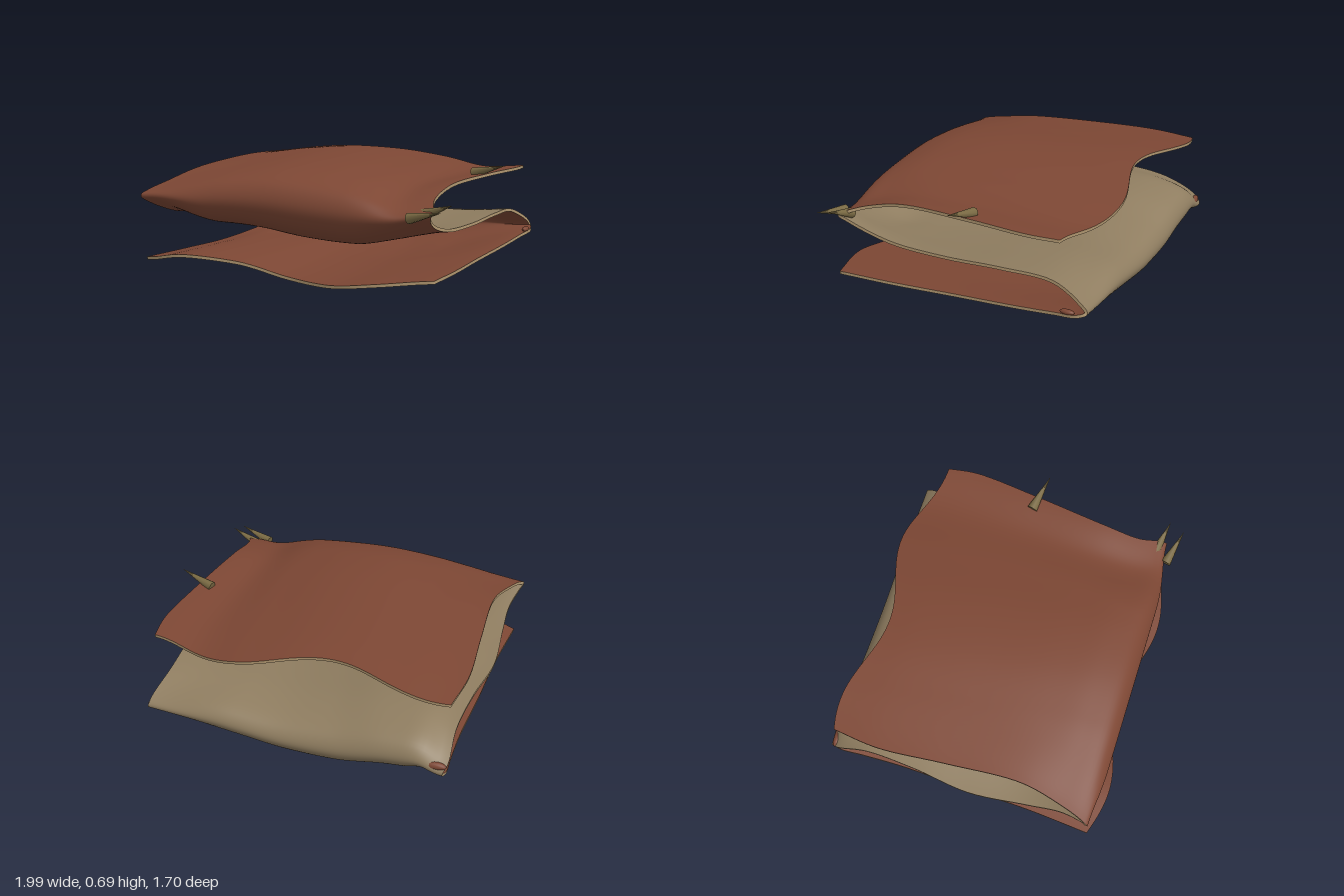
import * as THREE from 'three';

const HALF_THICK = 0.009, ROWS = 130, COLS = 64;
const { lerp, clamp, smoothstep } = THREE.MathUtils;

// Heights of the lower, middle and upper layers, evenly spaced across the width
const LAYERS = [
  [0.10, 0.145, 0.12, 0.05, 0.04, 0.075, 0.105],
  [0.33, 0.365, 0.35, 0.29, 0.265, 0.285, 0.325],
  [0.61, 0.65, 0.678, 0.67, 0.625, 0.577, 0.60],
].map(ys => new THREE.SplineCurve(ys.map((y, i) => new THREE.Vector2(-0.93 + i * 0.31, y))));

// Fold path: z and layer at mid width, z and layer at the pinched sides, x of each side
const FOLD = [
  [0.80, 0.00, 0.80, 0.00, -0.96, 0.88],
  [0.40, -0.04, 0.40, 0.00, -0.93, 0.87],
  [0.00, -0.08, 0.00, 0.00, -0.92, 0.84],
  [-0.40, -0.12, -0.40, 0.12, -0.91, 0.86],
  [-0.65, -0.06, -0.65, 0.24, -0.92, 0.88],
  [-0.80, 0.18, -0.79, 0.34, -0.93, 0.90],
  [-0.845, 0.50, -0.84, 0.44, -0.92, 0.88],
  [-0.80, 0.83, -0.80, 0.62, -0.94, 0.87],
  [-0.60, 1.05, -0.62, 0.98, -0.93, 0.83],
  [-0.30, 1.06, -0.30, 1.05, -0.95, 0.84],
  [0.05, 1.00, 0.05, 1.00, -0.99, 0.83],
  [0.40, 0.96, 0.40, 1.04, -0.96, 0.82],
  [0.62, 0.99, 0.60, 1.21, -0.95, 0.82],
  [0.755, 1.18, 0.71, 1.40, -0.98, 0.84],
  [0.80, 1.45, 0.745, 1.51, -1.00, 0.86],
  [0.755, 1.70, 0.70, 1.60, -0.98, 0.85],
  [0.60, 1.87, 0.58, 1.74, -0.94, 0.81],
  [0.35, 1.96, 0.35, 1.93, -0.90, 0.81],
  [-0.10, 2.00, -0.10, 2.00, -0.93, 0.86],
  [-0.50, 2.00, -0.50, 2.00, -0.96, 0.90],
  [-0.74, 1.98, -0.74, 1.98, -0.93, 0.88],
];

function layerHeight(k, u) {
  const y = LAYERS.map(c => c.getPoint(clamp((u + 1) / 2, 0, 1)).y);
  return k < 1 ? lerp(y[0], y[1], k) : lerp(y[1], y[2], k - 1);
}

// Bell-shaped weight around one row of the fold path
const bell = (i, centre, width) => Math.exp(-(((i - centre) / width) ** 2));

// One lengthwise curve through the folds at width u in -1..1
function foldCurve(u) {
  return new THREE.CatmullRomCurve3(FOLD.map(([z, k, ze, ke, xl, xr], i) => {
    // sides pinch together; the right back corner stays fuller
    const start = u > 0 ? 0.43 : i < 9 ? 0.72 : 0.5;
    const pinch = smoothstep(Math.abs(u), start, 1);
    const pull = pinch * pinch * (u < 0 ? 0.4 : 1);
    const x = (xl + xr) / 2 + u * (xr - xl) / 2;
    let pz = lerp(z, ze, pull);
    // scalloped ends
    if (i === 0) pz = 0.79 + 0.06 * Math.cos((x + 0.68) * 2 * Math.PI / 1.14);
    if (i === FOLD.length - 1) pz = -0.74 - 0.06 * Math.cos((x - 0.33) * 2 * Math.PI / 1.1);
    // ripples drift sideways, and flatten, near the folds
    const ripple = u + (0.3 * bell(i, 5.5, 3.2) - 0.28 * bell(i, 15, 2.8)) * (1 - pinch);
    const layer = lerp(k, ke, pinch);
    const flat = 0.5 * bell(i, 13, 1.8) * (1 - pinch);
    const sag = 0.03 * bell(i, 5.5, 3) * smoothstep(-u, 0, 0.8);
    return new THREE.Vector3(x, lerp(layerHeight(layer, ripple), layerHeight(layer, 0.1), flat) - sag, pz);
  }));
}

// Grid of centre points and normals
function buildGrid() {
  const points = [], normals = [];
  const curves = Array.from({ length: COLS + 1 }, (_, j) => foldCurve(j / COLS * 2 - 1));
  for (let i = 0; i <= ROWS; i++) points.push(curves.map(c => c.getPoint(i / ROWS)));
  for (let i = 0; i <= ROWS; i++) {
    normals.push(points[i].map((_, j) => {
      const du = points[i][Math.min(j + 1, COLS)].clone().sub(points[i][Math.max(j - 1, 0)]);
      const ds = points[Math.min(i + 1, ROWS)][j].clone().sub(points[Math.max(i - 1, 0)][j]);
      return du.cross(ds).normalize();
    }));
  }
  return (i, j, side) => points[i][j].clone().addScaledVector(normals[i][j], side * HALF_THICK);
}

function indexedGeometry(verts, index) {
  const g = new THREE.BufferGeometry().setFromPoints(verts);
  g.setIndex(index);
  g.computeVertexNormals();
  return g;
}

// One face of the hide; side is +1 or -1
function sheetGeometry(at, side) {
  const verts = [], index = [], w = COLS + 1;
  for (let i = 0; i <= ROWS; i++) for (let j = 0; j <= COLS; j++) verts.push(at(i, j, side));
  for (let i = 0; i < ROWS; i++) {
    for (let j = 0; j < COLS; j++) {
      const a = i * w + j, b = a + 1, c = a + w, d = c + 1;
      if (side > 0) index.push(a, b, c, b, d, c);
      else index.push(a, c, b, b, c, d);
    }
  }
  return indexedGeometry(verts, index);
}

// Cut edge running around the whole sheet
function rimGeometry(at) {
  const loop = [], verts = [], index = [];
  for (let j = 0; j < COLS; j++) loop.push([0, j]);
  for (let i = 0; i < ROWS; i++) loop.push([i, COLS]);
  for (let j = COLS; j > 0; j--) loop.push([ROWS, j]);
  for (let i = ROWS; i > 0; i--) loop.push([i, 0]);
  loop.forEach(([i, j], n) => {
    verts.push(at(i, j, 1), at(i, j, -1));
    const a = n * 2, b = ((n + 1) % loop.length) * 2;
    index.push(a, a + 1, b, b, a + 1, b + 1);
  });
  return indexedGeometry(verts, index);
}

export function createModel() {
  const model = new THREE.Group();
  model.name = 'foldedHide';
  const material = (name, color, side = THREE.FrontSide) => {
    const m = new THREE.MeshStandardMaterial({ color, side });
    m.name = name;
    return m;
  };
  const brown = material('redBrownLeather', 0x7d4734);
  const tan = material('tanUnderside', 0x8f7d60);
  const pale = material('paleCutEdge', 0xad946e, THREE.DoubleSide);
  const horn = material('oliveHorn', 0x7a6a43);
  const add = (name, geometry, mat) => {
    const mesh = new THREE.Mesh(geometry, mat);
    mesh.name = name;
    model.add(mesh);
    return mesh;
  };

  // Folded sheet
  const at = buildGrid();
  add('outerHide', sheetGeometry(at, 1), brown);
  add('innerHide', sheetGeometry(at, -1), tan);
  add('hideRim', rimGeometry(at), pale);

  // Small crumpled tucks at the back fold corners
  const tuckShape = new THREE.SphereGeometry(1, 12, 8);
  [
    ['rightBackTuck', [-0.86, 0.21, -0.825], [0.08, 0.025, 0.025]],
    ['leftBackTuck', [0.885, 0.19, -0.73], [0.02, 0.015, 0.045]],
  ].forEach(([name, position, scale]) => {
    const tuck = add(name, tuckShape, brown);
    tuck.position.set(...position);
    tuck.scale.set(...scale);
  });

  // Claws along the left side
  const claws = [
    [[0.77, 0.61, -0.10], [0.985, 0.665, -0.05]],
    [[0.79, 0.465, 0.70], [0.98, 0.53, 0.74]],
    [[0.74, 0.45, 0.78], [0.955, 0.50, 0.835]],
  ];
  claws.forEach(([from, to], i) => {
    const base = new THREE.Vector3(...from), tip = new THREE.Vector3(...to);
    const dir = tip.clone().sub(base);
    const claw = add('claw' + (i + 1), new THREE.ConeGeometry(0.032, dir.length(), 8), horn);
    claw.position.copy(base).add(tip).multiplyScalar(0.5);
    claw.quaternion.setFromUnitVectors(new THREE.Vector3(0, 1, 0), dir.normalize());
  });
  return model;
}
